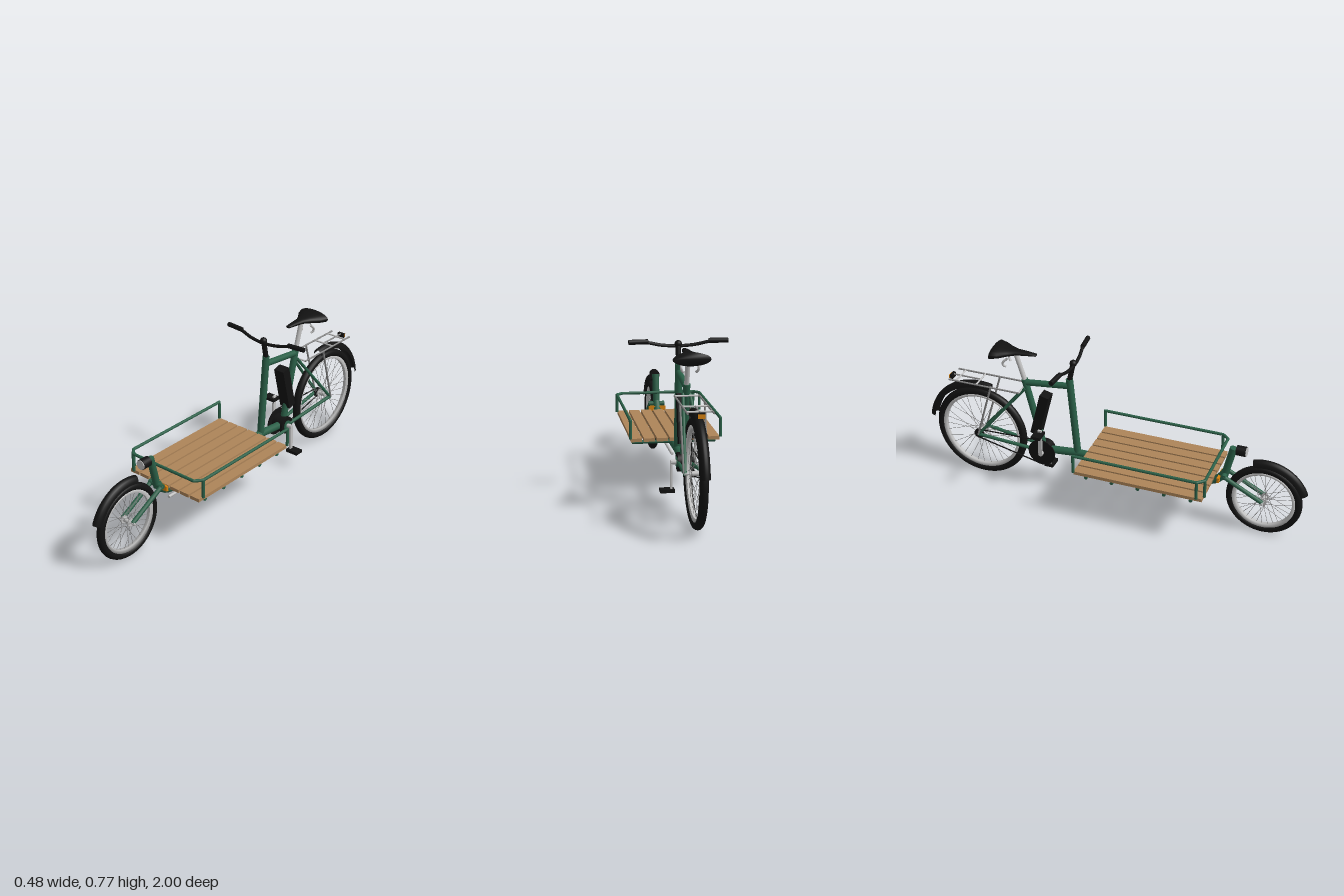
import * as THREE from 'three';

const mat = (name, color, side = THREE.FrontSide) => {
  const m = new THREE.MeshStandardMaterial({ color, side });
  m.name = name;
  return m;
};
const V = (x, y, z) => new THREE.Vector3(x, y, z);

export function createModel() {
  const green = mat('frame green', 0x2a5f47);
  const black = mat('black', 0x121212, THREE.DoubleSide);
  const silver = mat('silver', 0xc2c2c2);
  const grey = mat('steel grey', 0x858585);
  const wood = mat('wood', 0xae8559);
  const orange = mat('orange', 0xd8820f);

  const root = new THREE.Group();
  root.name = 'cargoBike';
  const add = (name, geo, material, parent = root) => {
    const m = new THREE.Mesh(geo, material);
    m.name = name;
    parent.add(m);
    return m;
  };
  // Straight cylinder between two points
  const rod = (name, a, b, r, material, parent = root, seg = 14) => {
    const d = b.clone().sub(a);
    const m = add(name, new THREE.CylinderGeometry(r, r, d.length(), seg), material, parent);
    m.position.copy(a).add(b).multiplyScalar(0.5);
    m.quaternion.setFromUnitVectors(V(0, 1, 0), d.normalize());
    return m;
  };
  // Smooth bent tube through points
  const bend = (name, pts, r, material) =>
    add(name, new THREE.TubeGeometry(new THREE.CatmullRomCurve3(pts, false, 'centripetal'), 28, r, 10), material);
  const box = (name, w, h, d, x, y, z, material) => {
    const m = add(name, new THREE.BoxGeometry(w, h, d), material);
    m.position.set(x, y, z);
    return m;
  };
  // Ring or band revolved about the x axis; angle runs from +z towards +y
  const revolve = (profile, start = 0, sweep = Math.PI * 2) =>
    new THREE.LatheGeometry(profile.map(p => new THREE.Vector2(...p)), 56, start, sweep).rotateZ(Math.PI / 2);

  // Wheels with tyre, rim, hub and crossed spokes
  const wheel = (name, y, z, R, tyreR) => {
    const g = new THREE.Group();
    g.name = name;
    g.position.set(0, y, z);
    root.add(g);
    add('tyre', new THREE.TorusGeometry(R - tyreR, tyreR, 14, 64).rotateY(Math.PI / 2), black, g);
    const ro = R - tyreR * 1.7, ri = ro - 0.017;
    add('rim', revolve([[ri, -0.008], [ri, 0.008], [ro, 0.013], [ro, -0.013], [ri, -0.008]].reverse()), silver, g)
      .material.side = THREE.DoubleSide;
    rod('hub', V(-0.026, 0, 0), V(0.026, 0, 0), 0.011, silver, g);
    rod('axle', V(-0.05, 0, 0), V(0.05, 0, 0), 0.006, silver, g);
    for (const s of [-1, 1]) {
      rod('hubFlange', V(s * 0.02, 0, 0), V(s * 0.024, 0, 0), 0.019, silver, g, 20);
      for (let i = 0; i < 16; i++) {
        const a = (i + (s > 0 ? 0.5 : 0)) * Math.PI / 8;
        const b = a + (i % 2 ? 1.2 : -1.2);
        rod('spoke', V(s * 0.022, Math.sin(b) * 0.017, Math.cos(b) * 0.017),
          V(0, Math.sin(a) * ri, Math.cos(a) * ri), 0.0011, grey, g, 5);
      }
    }
  };
  wheel('frontWheel', 0.195, 0.79, 0.19, 0.019);
  wheel('rearWheel', 0.255, -0.708, 0.25, 0.02);

  // Mudguards with an arched section
  const fender = (name, y, z, R, from, to) => {
    const prof = [];
    for (let i = 0; i <= 10; i++) {
      const a = Math.PI * i / 10;
      prof.push([R - 0.032 + 0.032 * Math.sin(a), -0.024 * Math.cos(a)]);
    }
    const rad = Math.PI / 180;
    add(name, revolve(prof, from * rad, (to - from) * rad), black).position.set(0, y, z);
  };
  fender('frontMudguard', 0.195, 0.79, 0.225, 20, 107);
  fender('rearMudguard', 0.255, -0.708, 0.291, 77, 171);

  // Frame
  const bb = V(0, 0.22, -0.36), axleR = V(0, 0.255, -0.708);
  bend('mainTube', [V(0, 0.237, -0.19), V(0, 0.235, 0.2), V(0, 0.236, 0.5), V(0, 0.265, 0.56), V(0, 0.31, 0.592)], 0.02, green);
  rod('steeringColumn', V(0, 0.225, -0.178), V(0, 0.66, -0.217), 0.018, green);
  rod('lowerTube', V(0, 0.238, -0.17), bb, 0.02, green);
  rod('topTube', V(0, 0.62, -0.215), V(0, 0.592, -0.455), 0.016, green);
  rod('seatTube', bb, V(0, 0.61, -0.457), 0.017, green);
  rod('bottomBracket', V(-0.034, 0.22, -0.36), V(0.034, 0.22, -0.36), 0.026, green);
  rod('headTube', V(0, 0.285, 0.587), V(0, 0.455, 0.625), 0.018, green);
  rod('steeringRod', V(0.028, 0.217, -0.19), V(0.028, 0.217, 0.54), 0.007, silver);
  rod('forkCrown', V(-0.042, 0.3, 0.592), V(0.042, 0.3, 0.592), 0.013, green);
  for (const s of [-1, 1]) {
    rod('forkLeg', V(s * 0.033, 0.3, 0.592), V(s * 0.033, 0.195, 0.79), 0.011, green);
    rod('seatStay', V(s * 0.016, 0.565, -0.45), V(s * 0.046, 0.255, -0.708), 0.008, green);
    rod('chainStay', V(s * 0.026, 0.22, -0.37), V(s * 0.046, 0.255, -0.708), 0.009, green);
  }
  box('frontReflector', 0.09, 0.026, 0.012, 0, 0.279, 0.566, orange);

  // Headlamp
  rod('headlampBody', V(0, 0.447, 0.64), V(0, 0.447, 0.688), 0.025, black, root, 24);
  rod('headlampLens', V(0, 0.447, 0.687), V(0, 0.447, 0.692), 0.023, silver, root, 24);

  // Cargo deck: planks on cross bars
  for (let i = -3; i <= 3; i++) box('deckPlank', 0.054, 0.017, 0.655, i * 0.0635, 0.27, 0.2125, wood);
  for (let i = 0; i < 5; i++) {
    const z = -0.055 + i * 0.134;
    rod('deckCrossBar', V(-0.207, 0.247, z), V(0.207, 0.247, z), 0.009, green);
  }

  // Cargo rail
  const railPts = [[0.221, -0.115], [0.221, 0.512], [0.192, 0.545], [-0.192, 0.545], [-0.221, 0.512], [-0.221, -0.115]]
    .map(([x, z]) => V(x, 0.37, z));
  railPts.forEach((p, i) => {
    if (i) rod('cargoRail', railPts[i - 1], p, 0.0075, green);
    add('railJoint', new THREE.SphereGeometry(0.0075, 12, 8), green).position.copy(p);
  });
  for (const [x, z] of [[0.221, -0.115], [-0.221, -0.115], [0.221, 0.512], [-0.221, 0.512], [-0.192, 0.545]])
    rod('railPost', V(x, 0.277, z), V(x, 0.37, z), 0.0075, green);

  // Handlebar
  rod('stem', V(0, 0.655, -0.216), V(0, 0.76, -0.194), 0.013, black);
  add('stemCap', new THREE.SphereGeometry(0.018, 16, 12), black).position.set(0, 0.752, -0.195);
  bend('handlebar', [V(-0.225, 0.768, -0.211), V(-0.15, 0.763, -0.205), V(-0.08, 0.748, -0.195), V(0, 0.742, -0.19),
    V(0.08, 0.748, -0.195), V(0.15, 0.763, -0.205), V(0.225, 0.768, -0.211)], 0.008, black);
  for (const s of [-1, 1]) rod('grip', V(s * 0.145, 0.767, -0.204), V(s * 0.237, 0.767, -0.212), 0.012, black);

  // Saddle lofted from rounded sections: z, half width, bottom, top
  const sections = [[-0.39, 0.012, 0.752, 0.764], [-0.43, 0.017, 0.748, 0.768], [-0.49, 0.025, 0.742, 0.769],
    [-0.53, 0.045, 0.734, 0.771], [-0.57, 0.073, 0.724, 0.775], [-0.608, 0.087, 0.718, 0.779]];
  const N = 24, pos = [], idx = [];
  sections.forEach(([z, w, lo, hi], j) => {
    for (let i = 0; i < N; i++) {
      const a = i / N * Math.PI * 2;
      pos.push(w * Math.cos(a), (lo + hi) / 2 + (hi - lo) / 2 * Math.sin(a), z);
      const n = (i + 1) % N, p = j * N;
      if (j) idx.push(p - N + i, p + i, p - N + n, p - N + n, p + i, p + n);
    }
  });
  const last = (sections.length - 1) * N;
  for (let i = 1; i < N - 1; i++) idx.push(0, i, i + 1, last, last + i + 1, last + i);
  let saddle = new THREE.BufferGeometry();
  saddle.setAttribute('position', new THREE.Float32BufferAttribute(pos, 3));
  saddle.setIndex(idx);
  saddle.computeVertexNormals();
  add('saddle', saddle, black);
  rod('seatPost', V(0, 0.6, -0.455), V(0, 0.74, -0.497), 0.012, silver);
  for (const s of [-1, 1])
    bend('saddleRail', [V(s * 0.036, 0.73, -0.53), V(s * 0.04, 0.705, -0.553), V(s * 0.037, 0.69, -0.552), V(s * 0.029, 0.68, -0.543)], 0.006, silver);

  // Battery
  box('battery', 0.06, 0.235, 0.048, 0, 0.43, -0.372, black).rotation.x = 0.245;

  // Drivetrain
  rod('motor', V(-0.036, 0.22, -0.36), V(0.03, 0.22, -0.36), 0.045, black, root, 28);
  rod('chainring', V(-0.042, 0.22, -0.36), V(-0.036, 0.22, -0.36), 0.072, black, root, 40);
  rod('rearCog', V(-0.042, 0.255, -0.708), V(-0.034, 0.255, -0.708), 0.026, black, root, 24);
  for (const s of [-1, 1])
    rod('chain', V(-0.039, 0.22 + s * 0.07, -0.365), V(-0.039, 0.255 + s * 0.024, -0.708), 0.0035, black, root, 6);
  rod('crankAxle', V(-0.06, 0.22, -0.36), V(0.06, 0.22, -0.36), 0.012, silver);
  for (const s of [-1, 1]) {
    const py = 0.215 - s * 0.13;
    box('crankArm', 0.01, 0.15, 0.02, s * 0.057, 0.22 - s * 0.068, -0.36, silver);
    box('pedal', 0.068, 0.016, 0.048, s * 0.077, py, -0.362, black);
  }

  // Rear rack
  for (const s of [-1, 1]) {
    rod('rackRail', V(s * 0.057, 0.557, -0.465), V(s * 0.057, 0.557, -0.85), 0.0045, grey);
    rod('rackLeg', V(s * 0.056, 0.557, -0.62), V(s * 0.052, 0.255, -0.708), 0.005, grey);
  }
  for (const z of [-0.468, -0.7, -0.81])
    rod('rackCrossBar', V(-0.057, 0.557, z), V(0.057, 0.557, z), 0.0045, silver);
  rod('rackSpine', V(0, 0.557, -0.7), V(0, 0.557, -0.855), 0.004, grey);
  box('tailLampBody', 0.036, 0.024, 0.014, 0, 0.549, -0.856, black);
  box('tailLampLens', 0.032, 0.018, 0.009, 0, 0.547, -0.866, orange);

  return root;
}
